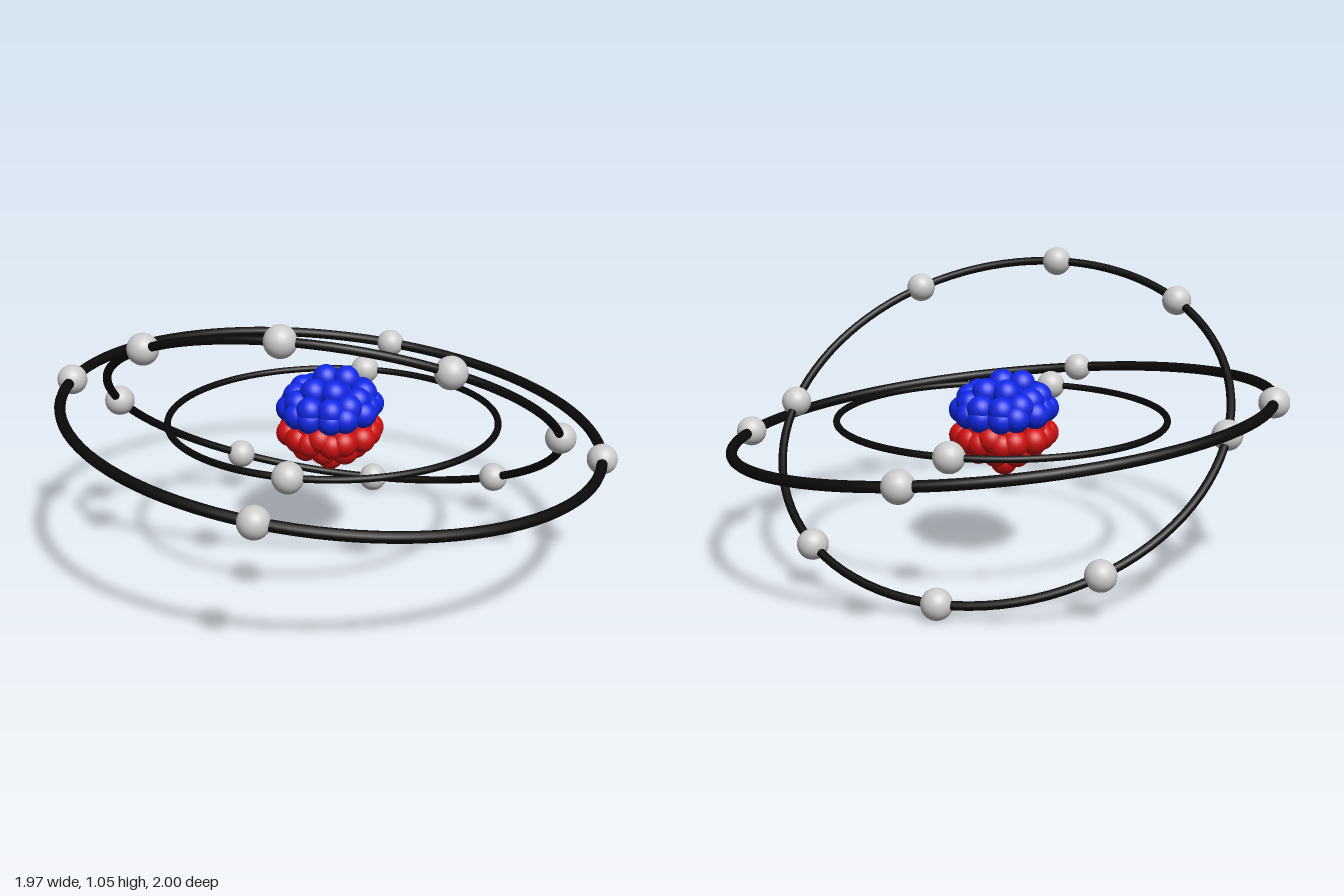
import * as THREE from 'three';

const paint = (color) => new THREE.MeshStandardMaterial({ color });

export function createModel() {
  const model = new THREE.Group();
  const grey = paint(0xcccccc), black = paint(0x0a0a0a);
  const red = paint(0xd01010), blue = paint(0x1028e8);
  const electronShape = new THREE.SphereGeometry(0.053, 32, 20);
  const nucleonShape = new THREE.SphereGeometry(0.048, 24, 16);

  // An orbit ring with its electrons; angles run from +x towards +z
  function orbit(name, radius, tube, tiltX, tiltZ, angles) {
    const group = new THREE.Group();
    group.name = name;
    const ring = new THREE.Mesh(new THREE.TorusGeometry(radius, tube, 12, 96).rotateX(Math.PI / 2), black);
    ring.name = name + 'Ring';
    group.add(ring);
    angles.forEach((deg) => {
      const a = THREE.MathUtils.degToRad(deg);
      const electron = new THREE.Mesh(electronShape, grey);
      electron.name = 'electron';
      electron.position.set(radius * Math.cos(a), 0, radius * Math.sin(a));
      group.add(electron);
    });
    group.rotation.set(tiltX, 0, tiltZ);
    group.position.y = 0.53;
    model.add(group);
  }
  orbit('innerOrbit', 0.578, 0.012, 0, 0, [90, 268]);
  orbit('middleOrbit', 0.798, 0.015, -0.63, 0, [0, 51, 90, 129, 180, 231, 270, 309]);
  orbit('outerOrbit', 0.945, 0.019, 0, -0.107, [-6, 90, 174, 270]);

  // Half of the nucleus: each [x, y, z] is mirrored across x and z
  function nucleons(name, material, spots) {
    const group = new THREE.Group();
    group.name = name;
    for (const [x, y, z] of spots)
      for (const sx of x ? [-1, 1] : [1])
        for (const sz of z ? [-1, 1] : [1]) {
          const ball = new THREE.Mesh(nucleonShape, material);
          ball.name = name + 'Ball';
          ball.position.set(sx * x, y, sz * z);
          group.add(ball);
        }
    group.position.set(-0.016, 0, -0.025);
    model.add(group);
  }
  nucleons('blueNucleons', blue, [
    [0.037, 0.642, 0.085],
    [0.04, 0.6, 0], [0.11, 0.61, 0.045], [0.09, 0.6, 0.1], [0.037, 0.592, 0.138],
    [0.132, 0.572, 0], [0.132, 0.568, 0.06], [0.085, 0.565, 0.125], [0.037, 0.56, 0.142],
  ]);
  nucleons('redNucleons', red, [
    [0.136, 0.48, 0], [0.13, 0.478, 0.065], [0.08, 0.478, 0.125], [0, 0.49, 0.138], [0.04, 0.47, 0.136],
    [0.07, 0.43, 0.07], [0.09, 0.43, 0], [0, 0.43, 0.09],
    [0, 0.38, 0], [0.05, 0.515, 0.11], [0.11, 0.515, 0.03],
  ]);
  return model;
}
